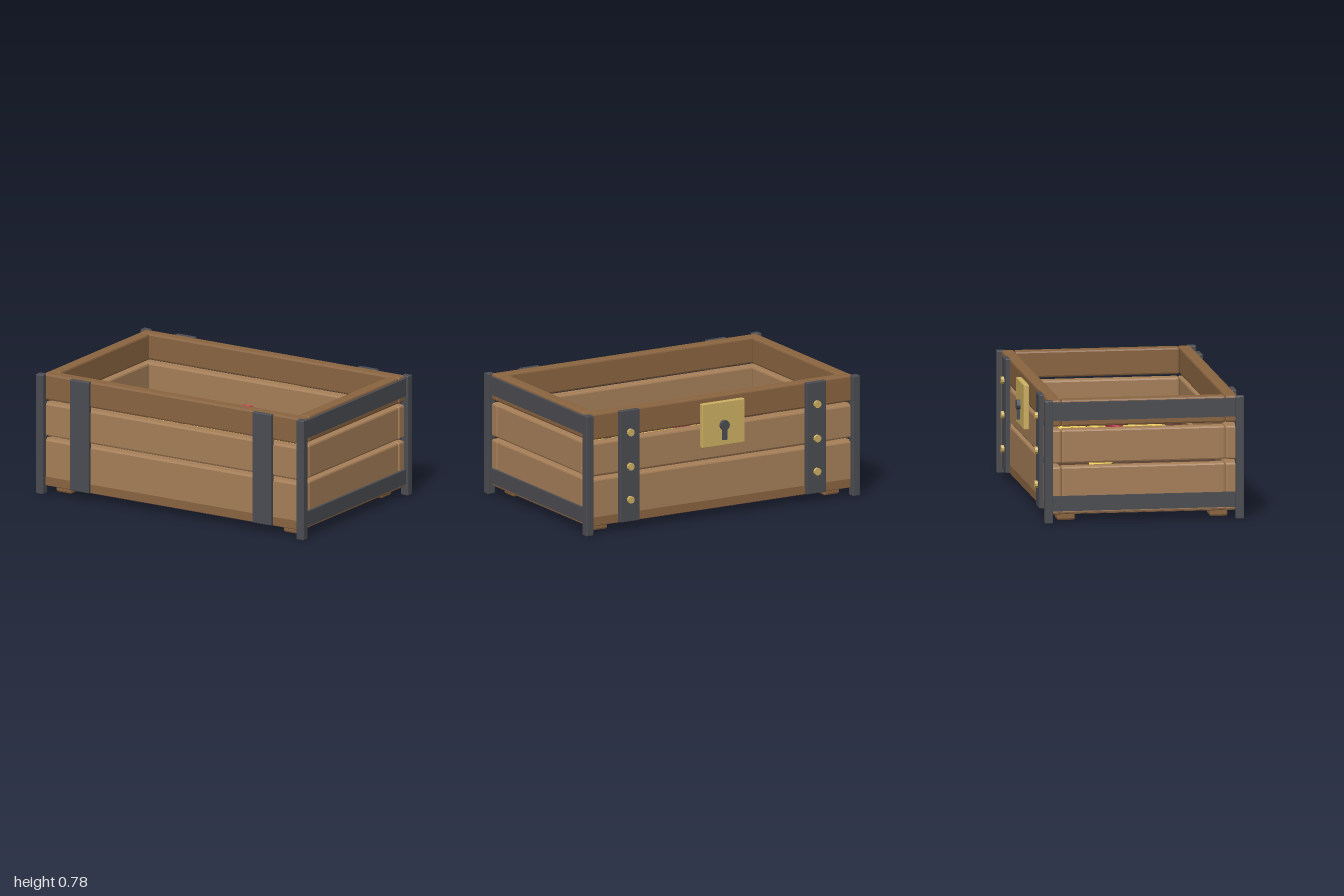
import * as THREE from 'three';
import { RoundedBoxGeometry } from 'three/addons/geometries/RoundedBoxGeometry.js';

const mat = (color) => new THREE.MeshStandardMaterial({ color, flatShading: true });
const darkWood = mat(0x8a6440), lightWood = mat(0xa67f58), innerWood = mat(0x5c4031);
const iron = mat(0x4b4c52), gold = mat(0xf0d060), brass = mat(0xcdb062);
const ruby = mat(0xd03a52), sapphire = mat(0x4a84d8);

export function createModel() {
  const root = new THREE.Group();
  root.name = 'treasureChest';

  const add = (name, geometry, material, parent = root) => {
    const m = new THREE.Mesh(geometry, material);
    m.name = name;
    parent.add(m);
    return m;
  };

  // Box given by its limits, with chamfered edges when bevel > 0
  const box = (name, x0, x1, y0, y1, z0, z1, material, bevel = 0) => {
    const size = [x1 - x0, y1 - y0, z1 - z0];
    const g = bevel ? new RoundedBoxGeometry(...size, 1, bevel) : new THREE.BoxGeometry(...size);
    g.translate((x0 + x1) / 2, (y0 + y1) / 2, (z0 + z1) / 2);
    return add(name, g, material);
  };

  // Walls: three rows of planks with narrow gaps
  const rows = [[0.055, 0.355, lightWood], [0.375, 0.59, lightWood], [0.61, 0.78, darkWood]];
  for (const [y0, y1, wood] of rows) {
    box('frontPlank', -0.97, 0.97, y0, y1, 0.53, 0.61, wood, 0.012);
    box('backPlank', -0.97, 0.97, y0, y1, -0.592, -0.512, wood, 0.012);
    box('rightPlank', -0.968, -0.89, y0, y1, -0.512, 0.53, wood, 0.012);
    box('leftPlank', 0.89, 0.968, y0, y1, -0.512, 0.53, wood, 0.012);
  }

  // Base trim, underside and raised inner floor
  box('baseTrim', -0.962, 0.962, 0.056, 0.11, -0.594, 0.612, darkWood);
  box('underside', -0.96, 0.96, 0.052, 0.06, -0.59, 0.609, innerWood);
  box('innerFloor', -0.895, 0.895, 0.1, 0.2, -0.515, 0.535, innerWood);
  box('raisedFloor', -0.875, 0.875, 0.19, 0.315, -0.5, 0.52, innerWood);

  for (const s of [-1, 1]) {
    const across = (name, a, b, ...rest) =>
      box(name, Math.min(s * a, s * b), Math.max(s * a, s * b), ...rest);

    // Feet
    across('frontFoot', 0.79, 0.905, 0.004, 0.058, 0.44, 0.555, darkWood, 0.012);
    across('backFoot', 0.79, 0.905, 0.004, 0.058, -0.53, -0.415, darkWood, 0.012);

    // Iron corner posts
    across('frontPost', 0.945, 1, 0, 0.78, 0.592, 0.645, iron, 0.006);
    across('backPost', 0.945, 1, 0, 0.78, -0.622, -0.57, iron, 0.006);

    // Iron side bands
    across('lowerBand', 0.955, 0.985, 0.075, 0.17, -0.572, 0.595, iron);
    across('upperBand', 0.955, 0.985, 0.65, 0.765, -0.572, 0.595, iron);

    // Front and back straps, with rivets on the back
    across('frontStrap', 0.61, 0.752, 0.056, 0.78, 0.605, 0.635, iron, 0.005);
    across('backStrap', 0.61, 0.752, 0.056, 0.78, -0.62, -0.587, iron, 0.005);
    for (const y of [0.2, 0.415, 0.637]) {
      const rivet = add('rivet', new THREE.CylinderGeometry(0.024, 0.024, 0.03, 10), brass);
      rivet.rotation.x = Math.PI / 2;
      rivet.position.set(s * 0.681, y, -0.624);
    }
  }

  // Lock plate and raised keyhole
  box('lockPlate', -0.155, 0.155, 0.46, 0.745, -0.625, -0.59, brass, 0.005);
  const keyhole = add('keyhole', new THREE.CylinderGeometry(0.032, 0.032, 0.03, 12), iron);
  keyhole.rotation.x = Math.PI / 2;
  keyhole.position.set(0, 0.595, -0.633);
  box('keyholeSlot', -0.014, 0.014, 0.5, 0.59, -0.645, -0.615, iron);

  // Treasure: coins lie on a low mound that rises in the middle
  let seed = 11;
  const rand = () => {
    seed = (seed * 16807) % 2147483647;
    return seed / 2147483647;
  };
  const moundY = (x, z) => 0.328 + 0.135 * Math.exp(-(x * x + z * z) / 0.06);
  const coins = new THREE.Group();
  coins.name = 'coins';
  root.add(coins);
  const coinGeometry = new THREE.CylinderGeometry(0.084, 0.084, 0.018, 9);
  const coin = (x, z, tilt) => {
    const c = add('coin', coinGeometry, gold, coins);
    c.position.set(x, moundY(x, z) + rand() * 0.02, z);
    // Lean outwards on the mound, plus a little irregularity
    const r = Math.hypot(x, z), lean = 1.6 * r * Math.exp(-r * r / 0.06);
    c.rotation.set((z / r) * lean + (rand() - 0.5) * tilt, rand() * 6.28,
      -(x / r) * lean + (rand() - 0.5) * tilt);
  };

  // Loose coins around the mound
  const loose = [
    [-0.66, -0.21], [-0.55, -0.28], [-0.56, -0.21], [-0.41, -0.11], [-0.56, 0.01], [-0.28, 0],
    [-0.58, 0.26], [-0.51, 0.3], [-0.31, 0.19], [-0.3, -0.28], [-0.23, -0.28], [-0.17, -0.18],
    [-0.07, -0.29], [0.06, -0.27], [0.18, -0.28], [0.25, -0.28], [0.57, -0.28], [0.64, -0.28],
    [0.65, -0.18], [0.65, -0.09], [0.49, -0.01], [0.3, -0.11], [0.42, -0.07], [0.35, 0.07],
    [0.3, 0], [0.42, 0.25], [0.5, 0.3], [0.65, 0.29], [0.66, 0.3], [-0.1, 0.3], [-0.16, 0.19],
    [0.06, 0.3], [0.14, 0.28], [0.1, 0.19], [0.25, 0.18], [0.38, -0.05],
  ];
  for (const [x, z] of loose) coin(x, z, 0.45);

  // Heaped coins, spread in a sunflower spiral
  for (let i = 1; i <= 44; i++) {
    const r = 0.031 * Math.sqrt(i), a = i * 2.4;
    coin(r * Math.cos(a) * 0.9 + 0.01, r * Math.sin(a), 0.5);
  }

  // Gems
  const gems = [
    ['redGem', -0.245, 0.49, -0.065, ruby], ['redGem', 0.045, 0.49, -0.185, ruby],
    ['blueGem', -0.485, 0.375, 0.105, sapphire], ['blueGem', 0.29, 0.47, 0.13, sapphire],
  ];
  gems.forEach(([name, x, y, z, material], i) => {
    const gem = add(name, new THREE.IcosahedronGeometry(0.06, 0), material);
    gem.position.set(x, y, z);
    gem.rotation.set(0.55, i * 0.7, 0.1);
  });

  return root;
}
